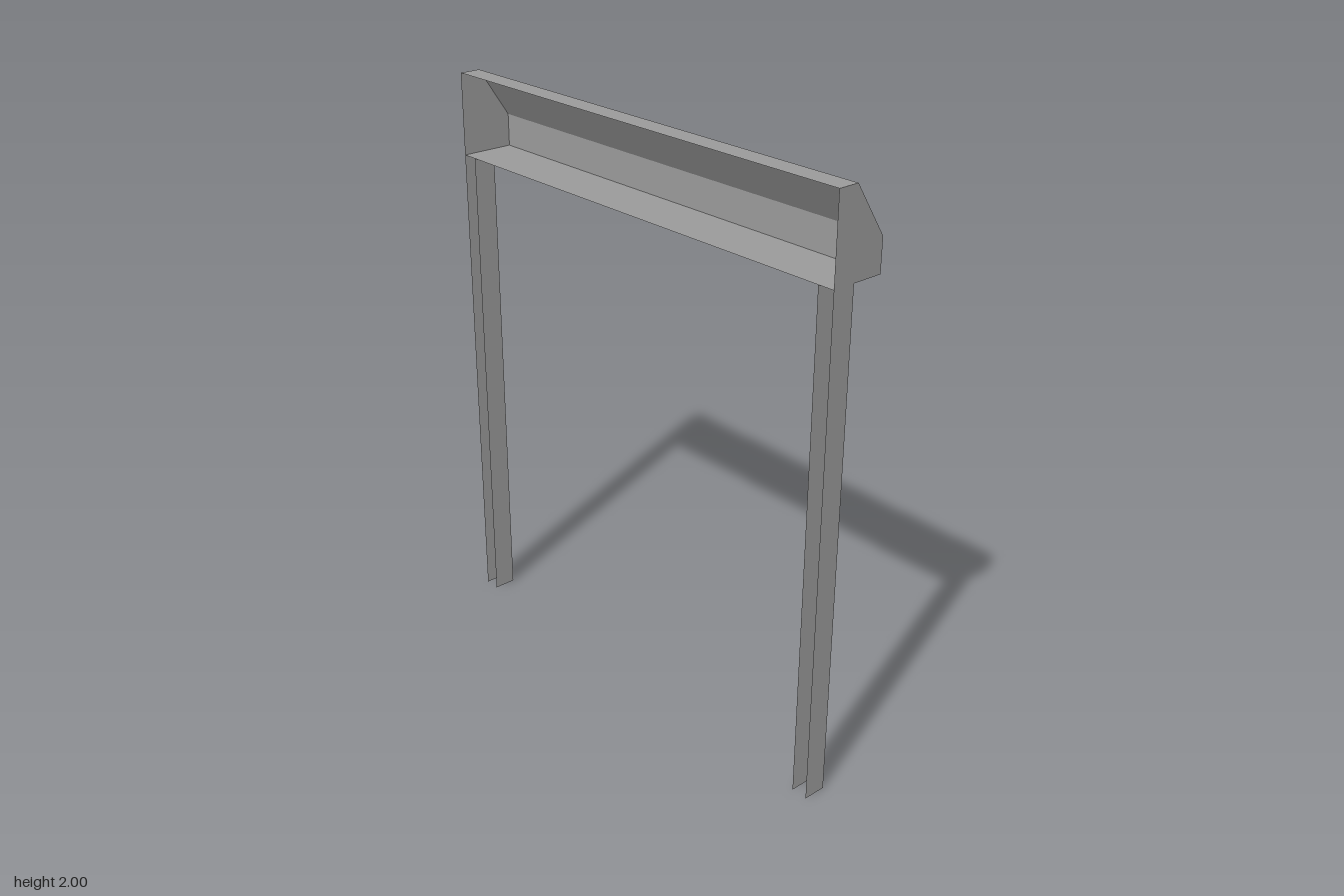
import * as THREE from 'three';

const HALF = 0.857, FRONT = 0.094, BACK = -0.094, SOFFIT = 1.717;
const material = new THREE.MeshStandardMaterial({ color: 0x9a9a9a, side: THREE.DoubleSide, flatShading: true });

// Folded sheet: an open 2D profile swept straight from a to b; place(p, t) gives [x, y, z].
function foldedSheet(profile, a, b, place) {
  const positions = [];
  for (let i = 0; i < profile.length - 1; i++) {
    const [p, q] = [profile[i], profile[i + 1]];
    for (const [c, t] of [[p, a], [q, a], [q, b], [p, a], [q, b], [p, b]]) positions.push(...place(c, t));
  }
  const geometry = new THREE.BufferGeometry();
  geometry.setAttribute('position', new THREE.Float32BufferAttribute(positions, 3));
  geometry.computeVertexNormals();
  return geometry;
}

function addMesh(parent, name, geometry) {
  const mesh = new THREE.Mesh(geometry, material);
  mesh.name = name;
  parent.add(mesh);
  return mesh;
}

export function createModel() {
  const model = new THREE.Group();
  model.name = 'shutterFrame';

  // Housing section as [z, y]: top, slope, back and bottom, open at the front
  const section = [[FRONT, 2], [0.02, 2], [BACK, 1.828], [BACK, SOFFIT], [FRONT, SOFFIT]];
  const housing = new THREE.Group();
  housing.name = 'housing';
  model.add(housing);
  addMesh(housing, 'housingShell', foldedSheet(section, -HALF, HALF, ([z, y], x) => [x, y, z]));

  // Flat end caps; the shape's x axis becomes -z
  const capShape = new THREE.Shape(section.map(([z, y]) => new THREE.Vector2(-z, y)));

  // Guide rail section as [x, z]: a channel open at the front
  const channel = [[HALF, FRONT], [HALF, 0.014], [0.8, 0.014], [0.8, FRONT]];

  for (const [side, s] of [['left', 1], ['right', -1]]) {
    const cap = addMesh(housing, side + 'EndCap', new THREE.ShapeGeometry(capShape));
    cap.rotation.y = Math.PI / 2;
    cap.position.x = s * HALF;
    addMesh(model, side + 'GuideRail', foldedSheet(channel, 0, SOFFIT, ([x, z], y) => [s * x, y, z]));
  }
  return model;
}
